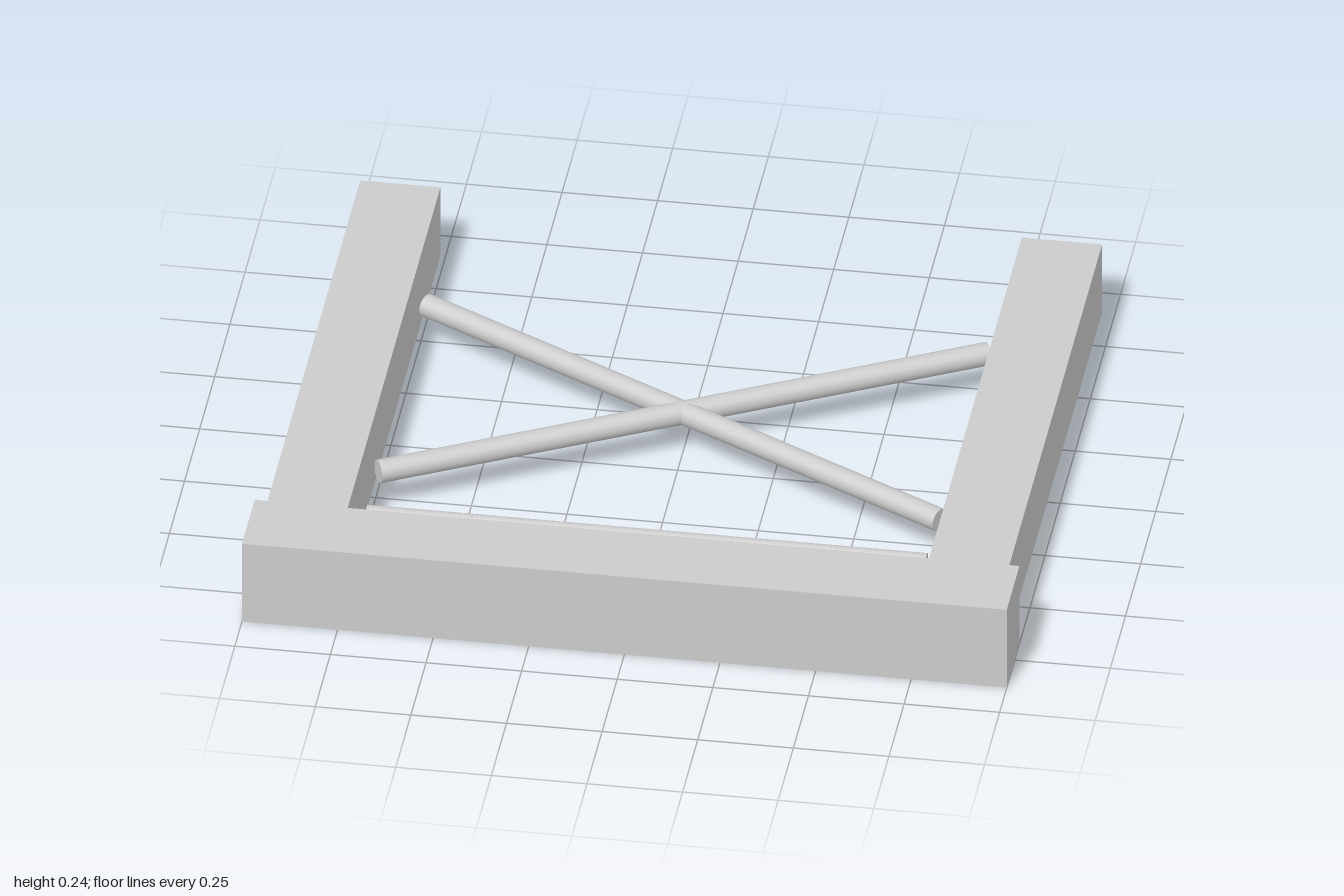
import * as THREE from 'three';

export function createModel() {
  const group = new THREE.Group();
  const material = new THREE.MeshStandardMaterial({ color: 0xcccccc });
  const midY = 0.12;

  function add(name, geometry) {
    const mesh = new THREE.Mesh(geometry, material);
    mesh.name = name;
    group.add(mesh);
    return mesh;
  }

  // Round bar between two points [x, z] at mid height
  function rod(name, [x1, z1], [x2, z2], radius) {
    const a = new THREE.Vector3(x1, midY, z1);
    const b = new THREE.Vector3(x2, midY, z2);
    const dir = b.clone().sub(a);
    const mesh = add(name, new THREE.CylinderGeometry(radius, radius, dir.length(), 16));
    mesh.position.copy(a).add(b).multiplyScalar(0.5);
    mesh.quaternion.setFromUnitVectors(new THREE.Vector3(0, 1, 0), dir.normalize());
  }

  // Cross beam along the front
  add('frontBeam', new THREE.BoxGeometry(2, 0.24, 0.21)).position.set(0, midY, 0.777);

  // Side rails and the crossed diagonal braces
  for (const [side, s] of [['left', 1], ['right', -1]]) {
    add(side + 'Rail', new THREE.BoxGeometry(0.21, 0.21, 1.557)).position.set(s * 0.865, midY, -0.106);
    rod(side + 'DiagonalBrace', [-s * 0.734, -0.488], [s * 0.734, 0.308], 0.031);
  }

  // Straight bar behind the front beam
  rod('straightBar', [-0.732, 0.51], [0.732, 0.51], 0.024);

  return group;
}
